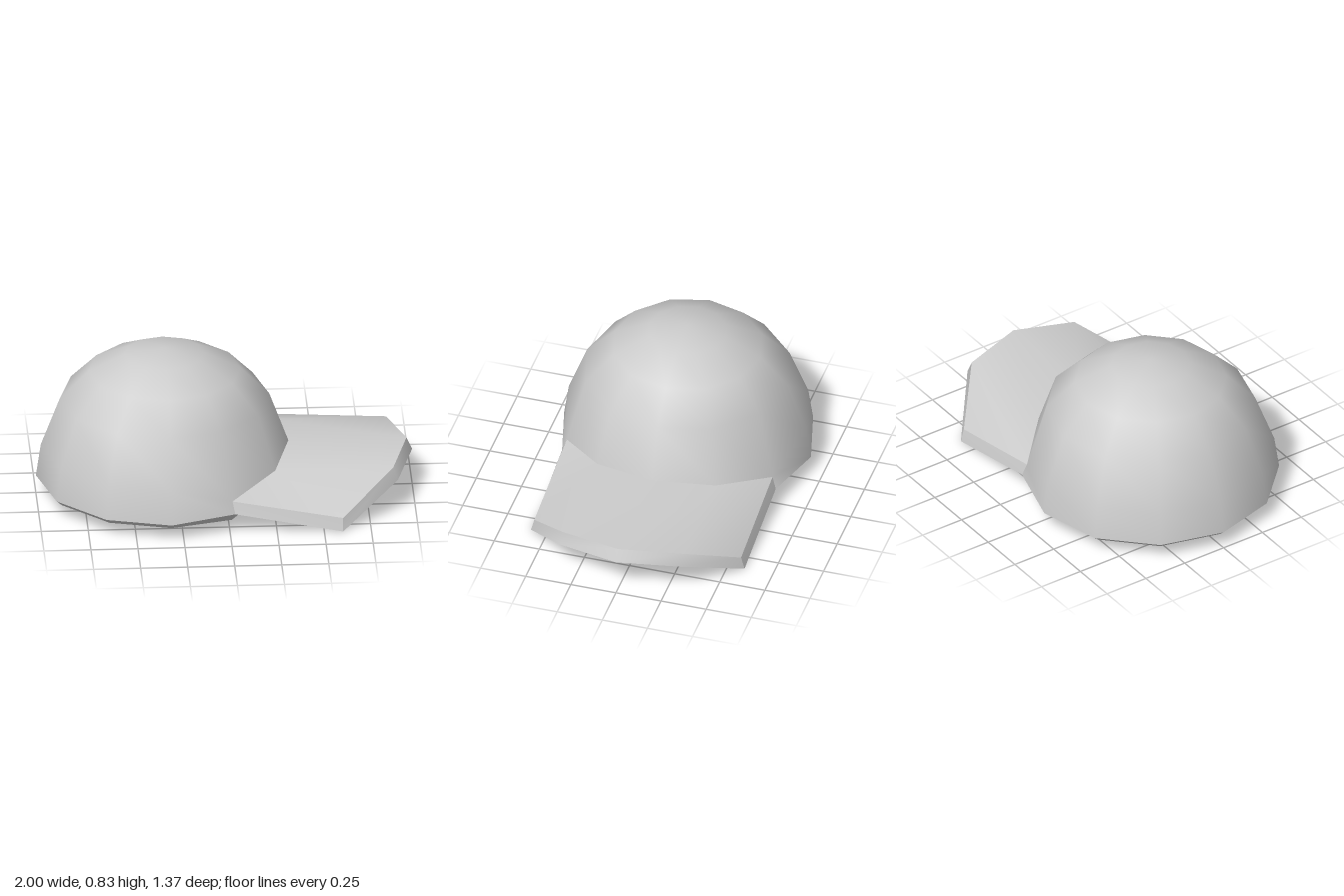
import * as THREE from 'three';
import { mergeVertices } from 'three/addons/utils/BufferGeometryUtils.js';

const SIDES = 12;
const CROWN_X = -0.316;
const material = new THREE.MeshStandardMaterial({ color: 0xcccccc });

// Joins rows of [x, y, z] points into a smooth skin; closed rows form rings
function skin(rows, closed = false) {
  const n = rows[0].length;
  const index = [];
  for (let i = 0; i < rows.length - 1; i++) {
    for (let j = 0; j < (closed ? n : n - 1); j++) {
      const a = i * n + j, b = i * n + (j + 1) % n;
      const c = a + n, d = b + n;
      index.push(a, c, d, a, d, b);
    }
  }
  const geometry = new THREE.BufferGeometry();
  geometry.setAttribute('position', new THREE.Float32BufferAttribute(rows.flat(2), 3));
  geometry.setIndex(index);
  // Welding turns a ring of zero radius into one smooth pole
  const welded = mergeVertices(geometry);
  welded.computeVertexNormals();
  return welded;
}

// A twelve-sided ring; heights gives y at 0, 30, 60 and 90+ degrees from the brim
function ring(radius, heights) {
  return Array.from({ length: SIDES }, (_, k) => {
    const a = (k / SIDES) * Math.PI * 2;
    const step = Math.min(k, SIDES - k, 3);
    return [CROWN_X + radius * Math.cos(a), heights[step], radius * Math.sin(a)];
  });
}
const level = ([radius, y]) => ring(radius, [y, y, y, y]);

export function createModel() {
  const cap = new THREE.Group();
  cap.name = 'cap';
  const add = (name, geometry) => {
    const mesh = new THREE.Mesh(geometry, material);
    mesh.name = name;
    cap.add(mesh);
  };

  // Hem rings, raised at the front; the seam ring dips along the brim
  const lipHeights = [0.15, 0.15, 0.07, 0.07];
  const base = ring(0.684, [0.2, 0.18, 0.115, 0.1]);
  const seam = ring(0.658, [0.27, 0.245, 0.18, 0.28]);
  const lipOuter = ring(0.65, lipHeights);
  const lipInner = ring(0.61, lipHeights);
  const liningSeam = ring(0.615, [0.26, 0.235, 0.17, 0.27]);

  // Crown: outer dome, bevelled hem, flat lip and lining
  const outer = [[0.557, 0.545], [0.405, 0.7], [0.212, 0.795], [0, 0.828]];
  const inner = [[0, 0.785], [0.19, 0.755], [0.375, 0.665], [0.52, 0.52]];
  add('crown', skin([base, seam, ...outer.map(level)], true));
  add('hem', skin([lipOuter, base], true));
  add('lip', skin([lipInner, lipOuter], true));
  add('lining', skin([...inner.map(level), liningSeam, lipInner], true));

  // Brim sections: inner top, outer top, outer bottom, inner bottom
  const half = [
    [[0.342, 0.27, 0], [0.97, 0.27, 0], [1, 0.203, 0], [0.368, 0.2, 0]],
    [[0.254, 0.245, 0.329], [0.88, 0.245, 0.33], [0.905, 0.178, 0.34], [0.276, 0.18, 0.342]],
    [[0.013, 0.18, 0.57], [0.6, 0.07, 0.573], [0.6, 0, 0.592], [0.026, 0.115, 0.592]],
  ];
  const mirrored = half.slice(1).reverse().map(s => s.map(([x, y, z]) => [x, y, -z]));
  const sections = [...mirrored, ...half];
  const row = k => sections.map(s => s[k]);
  add('brimTop', skin(sections.map(s => s.slice(0, 2))));
  add('brimEdge', skin(sections.map(s => s.slice(1, 3))));
  add('brimUnderside', skin([row(3), row(2)]));
  const side = ([it, ot, ob, ib]) => [[it, ot], [ib, ob]];
  add('brimLeftSide', skin(side(sections[4])));
  add('brimRightSide', skin(side(sections[0]).reverse()));

  return cap;
}
